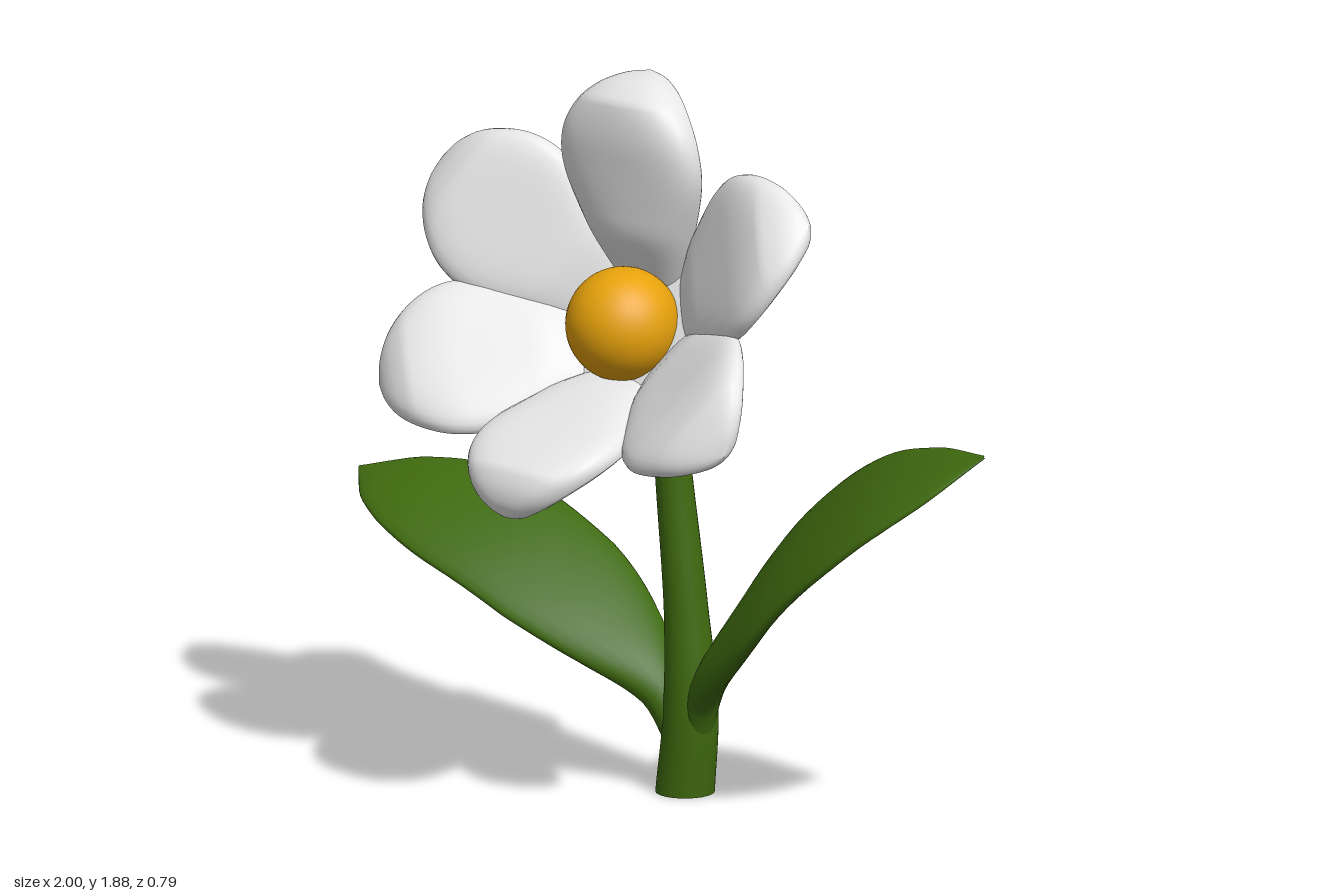
import * as THREE from 'three';

const V = (x, y, z) => new THREE.Vector3(x, y, z);
const curve = (pts) => new THREE.CatmullRomCurve3(pts.map((p) => V(...p)));

// Smooth closed skin over a row of rings: point(t, angle) with t from 0 to 1
function loft(rows, sides, point) {
  const pos = [], idx = [];
  for (let i = 0; i <= rows; i++)
    for (let j = 0; j < sides; j++)
      pos.push(...point(i / rows, (j / sides) * Math.PI * 2).toArray());
  for (let i = 0; i < rows; i++)
    for (let j = 0; j < sides; j++) {
      const k = (j + 1) % sides;
      const a = i * sides + j, b = i * sides + k, c = a + sides, d = b + sides;
      idx.push(a, b, d, a, d, c);
    }
  // turn the faces outwards
  const at = (i) => V(pos[i * 3], pos[i * 3 + 1], pos[i * 3 + 2]);
  const o = at(0);
  let vol = 0;
  for (let i = 0; i < idx.length; i += 3) {
    const [p, q, r] = [0, 1, 2].map((k) => at(idx[i + k]).sub(o));
    vol += p.dot(q.cross(r));
  }
  if (vol < 0) idx.reverse();
  const g = new THREE.BufferGeometry();
  g.setAttribute('position', new THREE.Float32BufferAttribute(pos, 3));
  g.setIndex(idx);
  g.computeVertexNormals();
  return g;
}

// Petal: length along y, width along x, opening towards z; thin skin outside, plump inside
function petalGeometry(plump, sag) {
  // each point holds half width, distance out, height along the flower axis
  const shape = curve([
    [0, 0, 0.03], [0.08, 0.11, 0.075], [0.16, 0.24, 0.178], [0.212, 0.36, 0.268],
    [0.208, 0.43, 0.318], [0.178, 0.49, 0.35], [0.122, 0.55, 0.37], [0.06, 0.583, 0.378],
    [0, 0.597, 0.378],
  ]);
  return loft(44, 32, (t, a) => {
    const p = shape.getPoint(t);
    const w = Math.max(p.x, 0), c = Math.cos(a), s = Math.sin(a), d = p.y / 0.6;
    const thick = s > 0 ? plump * Math.min(1, w * 6.5) : Math.min(0.03, w * 0.4);
    const n = thick * s + 0.22 * w * c * c;
    return V(w * c, p.y - 0.35 * n, p.z + 0.94 * n - sag * 4 * d * (1 - d));
  });
}

// Leaf: half-width vector swept along a mid line
function leafGeometry(mid, half) {
  const path = curve(mid);
  // each point holds relative width and half thickness
  const width = curve([[0.2, 0.045, 0], [0.3, 0.044, 0], [0.66, 0.04, 0], [0.96, 0.035, 0],
    [1, 0.031, 0], [0.84, 0.025, 0], [0.5, 0.016, 0], [0.02, 0.003, 0]]);
  const side = V(...half);
  return loft(40, 24, (t, a) => {
    const f = width.getPoint(t);
    const normal = path.getTangent(t).cross(side).normalize();
    return path.getPoint(t)
      .addScaledVector(side, f.x * Math.cos(a))
      .addScaledVector(normal, f.y * Math.sin(a));
  });
}

export function createModel() {
  const white = new THREE.MeshStandardMaterial({ color: 0xe6e6e6 });
  white.name = 'petal white';
  const green = new THREE.MeshStandardMaterial({ color: 0x3f6a0f });
  green.name = 'leaf green';
  const yellow = new THREE.MeshStandardMaterial({ color: 0xe8a30c });
  yellow.name = 'centre yellow';

  const model = new THREE.Group();
  model.name = 'flower';
  const add = (name, geometry, material, parent = model) => {
    const m = new THREE.Mesh(geometry, material);
    m.name = name;
    parent.add(m);
    return m;
  };

  // Stem with a rounded top and a flat foot
  const stemPath = curve([[0.025, 0, -0.285], [0.052, 0.22, -0.275], [0.042, 0.48, -0.268],
    [0.012, 0.78, -0.262], [0, 1.02, -0.243], [0, 1.23, -0.212]]);
  const stemRadius = curve([[0.075, 0, 0], [0.07, 0, 0], [0.056, 0, 0], [0.048, 0, 0],
    [0.042, 0, 0], [0.038, 0, 0]]);
  add('stem', loft(48, 24, (t, a) => {
    const end = Math.sqrt(Math.max(0, 1 - Math.max(0, (t - 0.94) / 0.06) ** 2));
    const r = stemRadius.getPoint(t).x * end;
    const tan = stemPath.getTangent(t);
    if (t === 0) tan.set(0, 1, 0);
    const x = V(0, 0, 1).cross(tan).normalize().negate();
    const z = x.clone().cross(tan).normalize();
    return stemPath.getPoint(t).addScaledVector(x, r * Math.cos(a)).addScaledVector(z, r * Math.sin(a));
  }), green);
  const foot = add('stemFoot', new THREE.CircleGeometry(0.075, 24), green);
  foot.rotation.x = Math.PI / 2;
  foot.position.set(0.025, 0, -0.285);

  // Leaves
  add('leftLeaf', leafGeometry([[0.06, 0.13, -0.275], [0.11, 0.28, -0.265], [0.24, 0.45, -0.24],
    [0.44, 0.68, -0.22], [0.68, 0.87, -0.22], [0.86, 0.965, -0.24], [1, 1.03, -0.28]],
  [-0.08, 0.085, -0.165]), green);
  add('rightLeaf', leafGeometry([[0.03, 0.12, -0.275], [-0.04, 0.27, -0.26], [-0.2, 0.41, -0.24],
    [-0.46, 0.56, -0.22], [-0.7, 0.642, -0.22], [-0.87, 0.67, -0.23], [-1, 0.675, -0.25]],
  [0.05, 0.07, -0.172]), green);

  // Blossom: six petals around an axis tilted upwards
  const blossom = new THREE.Group();
  blossom.name = 'blossom';
  blossom.position.set(-0.008, 1.17, -0.24);
  blossom.rotation.x = -Math.PI / 6;
  model.add(blossom);
  const top = petalGeometry(0.13, 0);
  const side = petalGeometry(0.085, 0);
  const bottom = petalGeometry(0.1, 0.05);
  // shape, turn, length and depth of each petal, going round from the top
  [[top, 0.03, 1, 1], [side, 1.13, 1.1, 0.88], [side, 2.09, 1.08, 0.86],
    [bottom, 3.14, 1, 1], [side, 4.19, 1.08, 0.86], [side, 5.18, 1.1, 0.88],
  ].forEach(([shape, turn, length, depth], i) => {
    const p = add('petal' + (i + 1), shape, white, blossom);
    p.rotation.z = turn;
    p.scale.set(1, length, depth);
  });

  // Cone that closes the cup behind the petals
  const base = add('blossomBase', new THREE.ConeGeometry(0.2, 0.14, 32), white, blossom);
  base.rotation.x = -Math.PI / 2;
  base.position.z = 0.075;

  // Round flower centre
  add('flowerCentre', new THREE.SphereGeometry(0.145, 40, 28), yellow).position.set(-0.006, 1.247, -0.078);
  return model;
}
